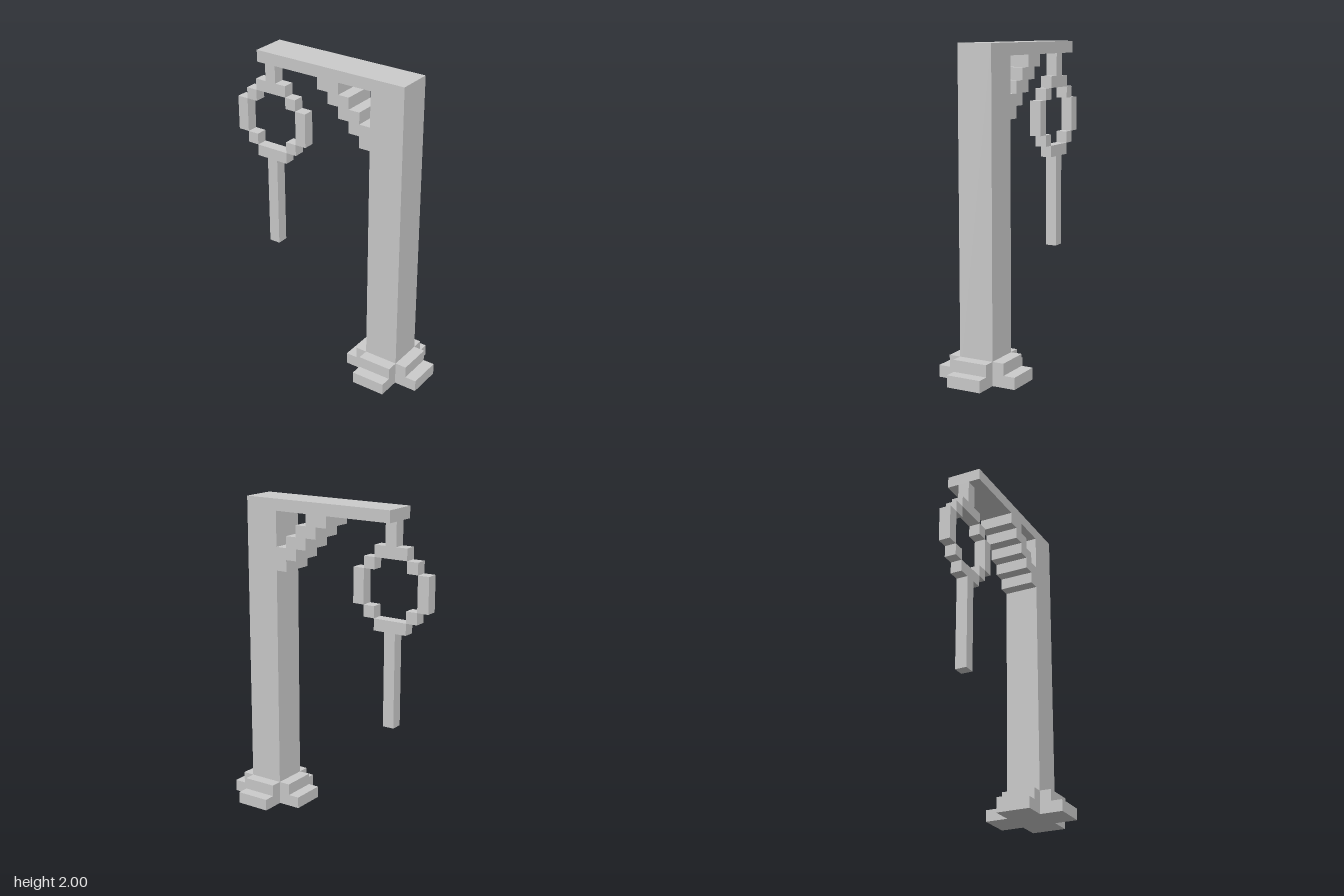
import * as THREE from 'three';

const U = 2 / 27; // one block
const material = new THREE.MeshStandardMaterial({ color: 0xcccccc, flatShading: true });

const points = (list) => list.map(([x, y]) => new THREE.Vector2(x * U, y * U));

// Extrudes an outline given in blocks, centred on z = 0
function slab(name, outline, depth, hole) {
  const shape = new THREE.Shape(points(outline));
  if (hole) shape.holes.push(new THREE.Path(points(hole)));
  const geometry = new THREE.ExtrudeGeometry(shape, { depth: depth * U, bevelEnabled: false });
  geometry.translate(0, 0, -depth * U / 2);
  const mesh = new THREE.Mesh(geometry, material);
  mesh.name = name;
  return mesh;
}

// Box spanning x0..x1 and y0..y1 in blocks, one block deep
function block(name, x0, x1, y0, y1) {
  const mesh = new THREE.Mesh(new THREE.BoxGeometry((x1 - x0) * U, (y1 - y0) * U, U), material);
  mesh.position.set((x0 + x1) / 2 * U, (y0 + y1) / 2 * U, 0);
  mesh.name = name;
  return mesh;
}

export function createModel() {
  const model = new THREE.Group();
  model.name = 'hangingFrame';

  // Post, top beam and stepped brace in one outline, with the gap behind the brace
  const outline = [[7.5, 0], [7.5, 27], [-6.5, 27], [-6.5, 26], [-0.5, 26]];
  const gap = [[4.5, 26], [1.5, 26]];
  for (let i = 0; i < 5; i++) outline.push([i - 0.5, 25 - i], [i + 0.5, 25 - i]);
  for (let i = 0; i < 3; i++) gap.push([i + 1.5, 25 - i], [i + 2.5, 25 - i]);
  outline.push([4.5, 0]);
  model.add(slab('postBeamAndBrace', outline, 3, gap));

  // Four stepped feet around the post
  const base = new THREE.Group();
  base.name = 'base';
  base.position.x = 6 * U;
  const step = [[1.5, 0], [3.5, 0], [3.5, 1], [2.5, 1], [2.5, 2], [1.5, 2]];
  for (let i = 0; i < 4; i++) {
    const foot = slab('steppedFoot', step, 3);
    foot.rotation.y = i * Math.PI / 2;
    base.add(foot);
  }
  model.add(base);

  // Hanging rope: hanger, blocky ring and tail
  const rope = new THREE.Group();
  rope.name = 'rope';
  rope.position.x = -6 * U;
  rope.add(block('hanger', -0.5, 0.5, 24, 26), block('tail', -0.5, 0.5, 9, 17));
  rope.add(block('ringTop', -1.5, 1.5, 23, 24), block('ringBottom', -1.5, 1.5, 17, 18));
  for (const s of [-1, 1]) {
    rope.add(block('ringSide', s * 3 - 0.5, s * 3 + 0.5, 19, 22));
    for (const y of [18, 22]) rope.add(block('ringCorner', s * 2 - 0.5, s * 2 + 0.5, y, y + 1));
  }
  model.add(rope);

  return model;
}
